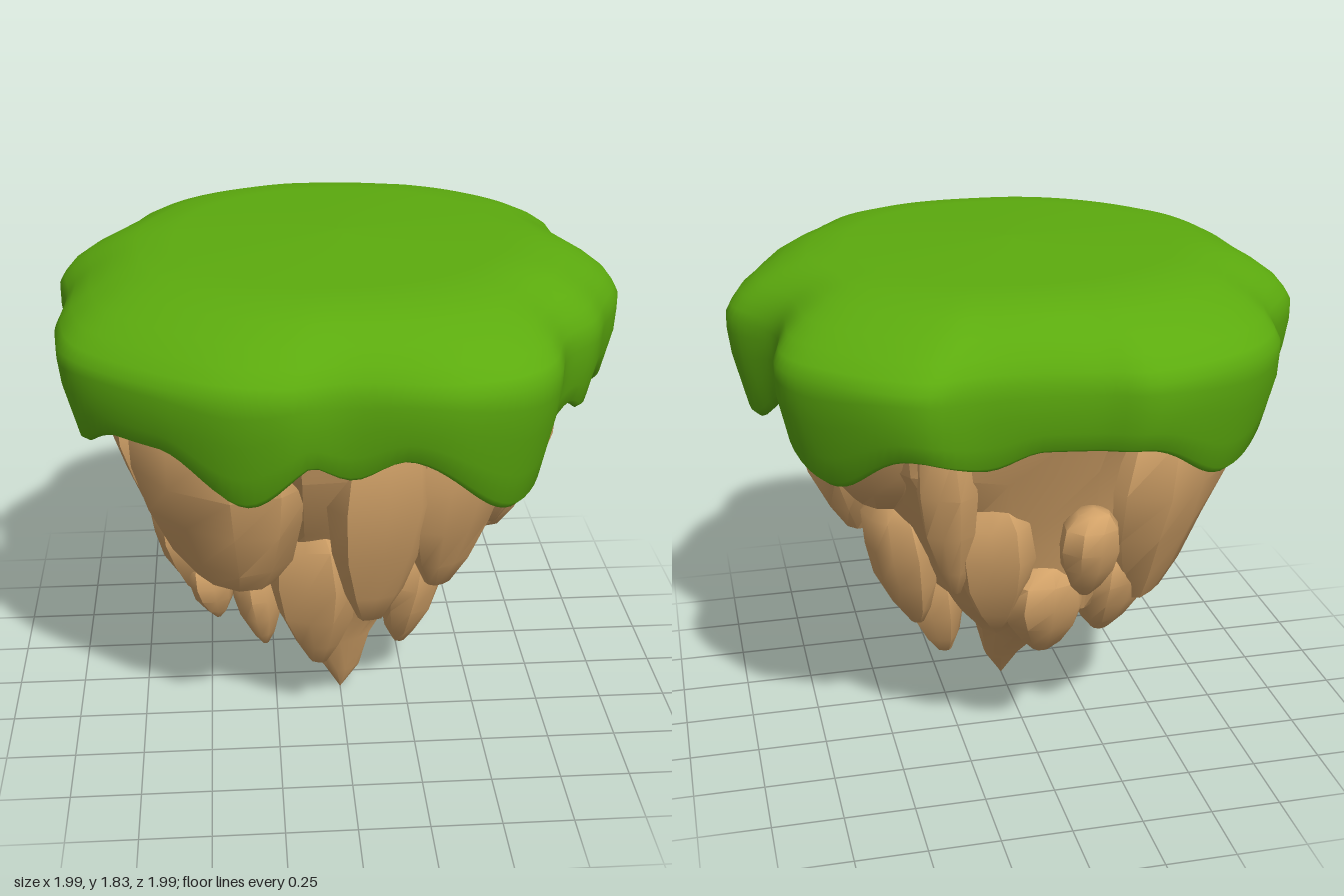
import * as THREE from 'three';
import { toCreasedNormals } from 'three/addons/utils/BufferGeometryUtils.js';

const TAU = Math.PI * 2;

// Small seeded noise source for the chipped rock shapes
function seeded(seed) {
  let s = seed;
  return () => (s = (s * 16807) % 2147483647) / 2147483647;
}

// Skin between closed rings of points, ordered from bottom to top
function loft(rings) {
  const n = rings[0].length, index = [];
  for (let i = 0; i < rings.length - 1; i++) {
    for (let j = 0; j < n; j++) {
      const a = i * n + j, b = i * n + (j + 1) % n;
      index.push(a, a + n, b, b, a + n, b + n);
    }
  }
  const g = new THREE.BufferGeometry();
  g.setAttribute('position', new THREE.Float32BufferAttribute(rings.flat(2), 3));
  g.setIndex(index);
  g.computeVertexNormals();
  return g;
}

// Grass outline seen from above: x, z
const OUTLINE = [
  [0.99, 0], [0.98, 0.12], [0.9, 0.3], [0.84, 0.45], [0.71, 0.6], [0.64, 0.82], [0.54, 0.925],
  [0.33, 0.99], [-0.04, 0.95], [-0.25, 0.985], [-0.48, 0.93], [-0.91, 0.58], [-0.97, 0.35],
  [-0.96, 0.05], [-0.99, -0.22], [-0.82, -0.49], [-0.76, -0.7], [-0.6, -0.87], [-0.24, -1],
  [-0.08, -0.96], [0.28, -0.92], [0.48, -0.95], [0.8, -0.71], [0.88, -0.56], [0.85, -0.26],
];

// Drooping grass tongues: angle in degrees, lowest height, half width in degrees
const TONGUES = [
  [0, 1.23, 15], [26, 1.3, 9], [57, 1.13, 24], [91, 1.28, 11], [112, 1.19, 16],
  [155, 1.25, 17], [188, 1.11, 20], [235, 1.2, 22], [287, 1.3, 12], [318, 1.21, 18],
];

// Height of the grass edge at a point of the outline
function edgeHeight(x, z) {
  const angle = THREE.MathUtils.radToDeg(Math.atan2(z, x));
  return Math.min(...TONGUES.map(([at, low, half]) => {
    const off = Math.abs(THREE.MathUtils.euclideanModulo(angle - at + 180, 360) - 180);
    return off < half ? 1.36 - (1.36 - low) * (0.5 + 0.5 * Math.cos(Math.PI * off / half)) : 1.36;
  }));
}

function grassGeometry() {
  const curve = new THREE.CatmullRomCurve3(OUTLINE.map(([x, z]) => new THREE.Vector3(x, 0, z)), true, 'centripetal');
  const edge = curve.getSpacedPoints(180).slice(0, 180);
  const inset = y => 1 - 0.25 * Math.max(0, 1.5 - y);
  // Each ring has a scale, a height and how far it blends into a circle
  const ring = f => edge.map(p => {
    const [scale, y, round = 0] = f(edgeHeight(p.x, p.z));
    const k = scale * (1 + (0.96 / p.length() - 1) * round);
    return [p.x * k, y, p.z * k];
  });
  return loft([
    ring(() => [0, 1.45]),
    ring(() => [0.78, 1.45]),
    ring(e => [inset(e) - 0.06, e + 0.03]),
    ring(e => [inset(e) - 0.02, e]),
    ...[0.06, 0.3, 0.6, 0.85].map(t => ring(e => {
      const y = e + (1.6 - e) * t;
      return [inset(y), y];
    })),
    ...[
      [1, 1.6], [0.985, 1.635, 0.1], [0.955, 1.68, 0.25], [0.9, 1.725, 0.45],
      [0.82, 1.77, 0.65], [0.73, 1.8, 0.8], [0.6, 1.815, 1], [0, 1.83],
    ].map(level => ring(() => level)),
  ]);
}

// Main rock: tapering sections as height, centre x, centre z, radius in x, radius in z
function coreGeometry() {
  const rand = seeded(41);
  const sections = [
    [0.005, 0, 0.11, 0, 0], [0.12, 0, 0.1, 0.075, 0.075], [0.27, -0.04, 0.07, 0.16, 0.16],
    [0.43, -0.04, 0, 0.26, 0.29], [0.62, -0.05, -0.08, 0.41, 0.47], [0.9, -0.03, -0.05, 0.54, 0.58],
    [1.2, 0, -0.02, 0.71, 0.73], [1.5, 0, 0, 0.82, 0.82], [1.5, 0, 0, 0, 0],
  ];
  return toCreasedNormals(loft(sections.map(([y, cx, cz, rx, rz]) =>
    Array.from({ length: 14 }, (_, j) => {
      const a = j / 14 * TAU, k = 0.93 + 0.14 * rand();
      return [cx + Math.cos(a) * rx * k, y, cz + Math.sin(a) * rz * k];
    }))), 0.6);
}

// Hanging rock along +x, leaning inwards towards its tip
function chunkGeometry(radius, top, bottom, width, seed) {
  const rand = seeded(seed * 977 + 13), n = 9;
  const height = top - bottom, depth = 0.055 + 0.5 * width, blunt = 0.04 + 1.1 * width;
  const bumps = Array.from({ length: n }, () => 0.9 + 0.22 * rand());
  const levels = [
    [0, 0], [0.02, blunt], [0.15, 0.42 + blunt * 0.5], [0.36, 0.84], [0.58, 1], [0.82, 0.88], [0.96, 0.5], [1, 0],
  ];
  return toCreasedNormals(loft(levels.map(([t, r]) =>
    Array.from({ length: n }, (_, j) => {
      const a = j / n * TAU, k = r * bumps[j] * (0.94 + 0.12 * rand());
      return [
        radius - 0.17 * height * (1 - t) + Math.cos(a) * depth * k,
        bottom + height * t,
        Math.sin(a) * width * k,
      ];
    }))), 0.75);
}

// Angle in degrees from +x towards the front, then distance, top, bottom, half width
const CHUNKS = [
  // front
  [132, 0.74, 1.5, 0.7, 0.37], [81, 0.66, 1.45, 0.54, 0.2], [55, 0.69, 1.45, 0.65, 0.19],
  [106, 0.46, 0.95, 0.26, 0.15], [139, 0.45, 0.7, 0.3, 0.08],
  // +x side
  [11, 0.68, 1.5, 0.72, 0.26], [328, 0.74, 1.6, 1, 0.29], [339, 0.5, 0.98, 0.41, 0.15],
  [11, 0.33, 0.7, 0.17, 0.15], [35, 0.73, 1.45, 0.85, 0.16],
  // back
  [299, 0.76, 1.45, 0.72, 0.11], [287, 0.63, 1.1, 0.55, 0.13], [260, 0.74, 1.08, 0.73, 0.11],
  [268, 0.55, 0.82, 0.43, 0.15], [240, 0.56, 0.87, 0.46, 0.15], [229, 0.72, 1.45, 0.6, 0.28],
  // -x side
  [186, 0.71, 1.45, 0.6, 0.19], [166, 0.61, 0.95, 0.47, 0.18], [157, 0.55, 0.67, 0.39, 0.07],
  [191, 0.43, 0.72, 0.36, 0.12], [165, 0.76, 1.45, 0.8, 0.18],
];

export function createModel() {
  const grass = new THREE.MeshStandardMaterial({ color: 0x5cab0e });
  grass.name = 'grass green';
  const rock = new THREE.MeshStandardMaterial({ color: 0xd2a268 });
  rock.name = 'sandy rock';

  const model = new THREE.Group();
  model.name = 'floatingIsland';
  const add = (name, geometry, material, parent = model) => {
    const mesh = new THREE.Mesh(geometry, material);
    mesh.name = name;
    parent.add(mesh);
    return mesh;
  };

  add('grassCap', grassGeometry(), grass);
  add('rockCore', coreGeometry(), rock);

  const chunks = new THREE.Group();
  chunks.name = 'hangingRocks';
  CHUNKS.forEach(([angle, ...size], i) => {
    const chunk = add('hangingRock' + (i + 1), chunkGeometry(...size, i + 1), rock, chunks);
    chunk.rotation.y = -THREE.MathUtils.degToRad(angle);
  });
  model.add(chunks);
  return model;
}
